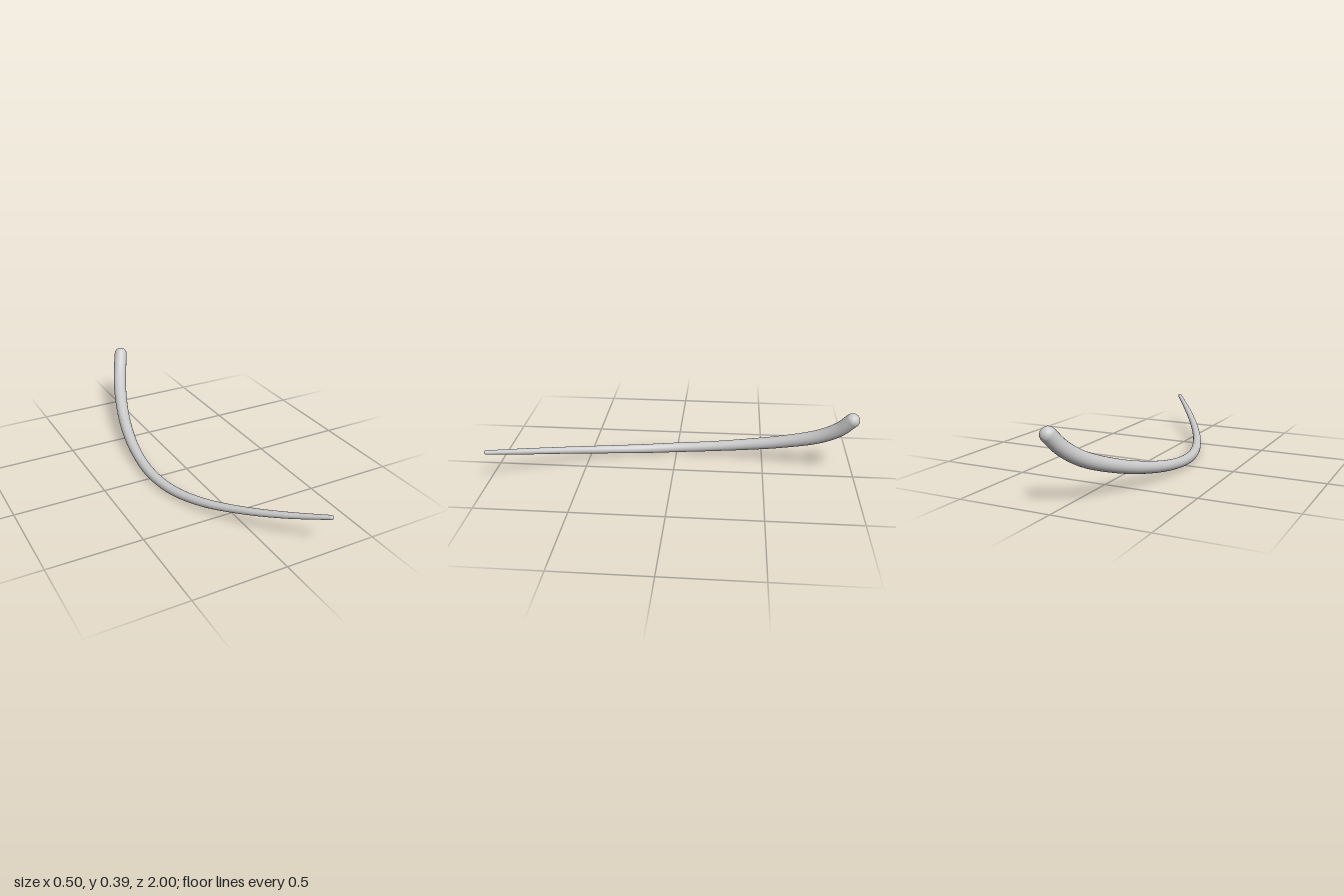
import * as THREE from 'three';

// Centreline points (x, y, z) and radius, from the thick end to the thin end
const SECTIONS = [
  [0.021, 0.356, -0.960, 0.039],
  [-0.012, 0.285, -0.900, 0.039],
  [-0.059, 0.216, -0.800, 0.038],
  [-0.130, 0.141, -0.600, 0.035],
  [-0.182, 0.090, -0.400, 0.032],
  [-0.214, 0.054, -0.200, 0.029],
  [-0.222, 0.034, 0.000, 0.028],
  [-0.194, 0.031, 0.200, 0.026],
  [-0.128, 0.051, 0.400, 0.023],
  [-0.026, 0.089, 0.600, 0.020],
  [0.102, 0.138, 0.800, 0.017],
  [0.240, 0.193, 0.988, 0.012],
];
const SEGMENTS = 120;
const SIDES = 24;

export function createModel() {
  const group = new THREE.Group();
  group.name = 'curvedRod';
  const material = new THREE.MeshStandardMaterial({ color: 0xcccccc });

  const path = new THREE.CatmullRomCurve3(SECTIONS.map(([x, y, z]) => new THREE.Vector3(x, y, z)));
  const taper = new THREE.SplineCurve(SECTIONS.map((s, i) => new THREE.Vector2(i, s[3])));

  // Tapered shaft: a unit-radius tube whose rings are scaled along the path
  const tube = new THREE.TubeGeometry(path, SEGMENTS, 1, SIDES, false);
  const pos = tube.attributes.position;
  const v = new THREE.Vector3();
  for (let i = 0; i <= SEGMENTS; i++) {
    const u = i / SEGMENTS;
    const centre = path.getPointAt(u);
    const radius = taper.getPoint(path.getUtoTmapping(u)).y;
    for (let j = 0; j <= SIDES; j++) {
      const k = i * (SIDES + 1) + j;
      v.fromBufferAttribute(pos, k).sub(centre).multiplyScalar(radius).add(centre);
      pos.setXYZ(k, v.x, v.y, v.z);
    }
  }
  const shaft = new THREE.Mesh(tube, material);
  shaft.name = 'shaft';
  group.add(shaft);

  // Rounded ends: hemispheres facing outward along the path
  const up = new THREE.Vector3(0, 1, 0);
  const addCap = (name, u, radius, sign) => {
    const cap = new THREE.Mesh(
      new THREE.SphereGeometry(radius, SIDES, 10, 0, Math.PI * 2, 0, Math.PI / 2), material);
    cap.name = name;
    cap.position.copy(path.getPointAt(u));
    cap.quaternion.setFromUnitVectors(up, path.getTangentAt(u).multiplyScalar(sign));
    group.add(cap);
  };
  addCap('thickEnd', 0, SECTIONS[0][3], -1);
  addCap('thinEnd', 1, SECTIONS[SECTIONS.length - 1][3], 1);

  return group;
}
